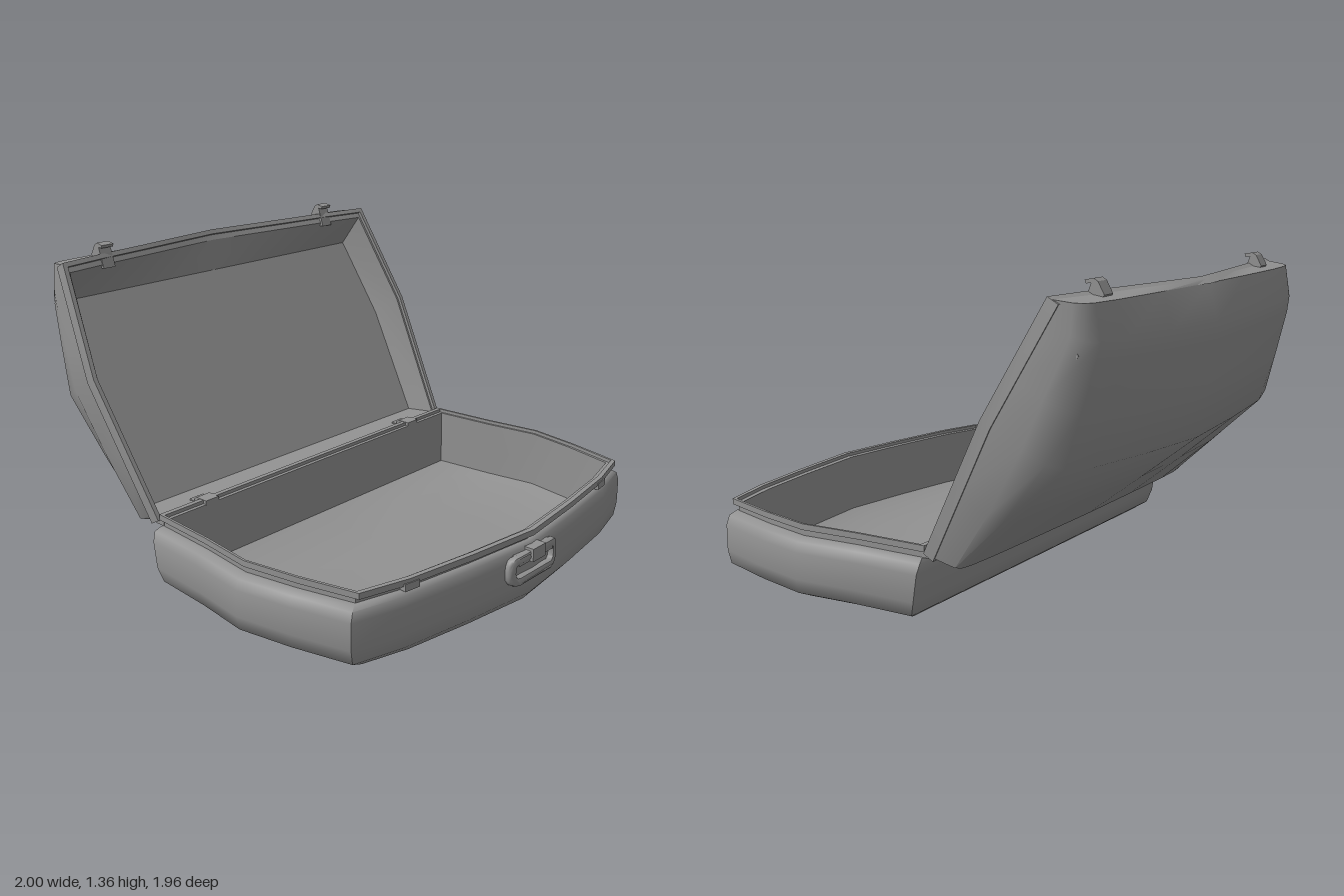
import * as THREE from 'three';
import { toCreasedNormals } from 'three/addons/utils/BufferGeometryUtils.js';

const material = new THREE.MeshStandardMaterial({ color: 0x929292, side: THREE.DoubleSide });
const V = (x, y, z) => new THREE.Vector3(x, y, z);

function part(name, geometry, parent) {
  const mesh = new THREE.Mesh(geometry, material);
  mesh.name = name;
  parent.add(mesh);
  return mesh;
}

// Surface through rows of points; closed joins each row's end to its start
function skin(rows, closed, crease) {
  const pos = [];
  const tri = (a, b, c) => {
    if (a.distanceTo(b) > 1e-6 && b.distanceTo(c) > 1e-6 && c.distanceTo(a) > 1e-6)
      for (const p of [a, b, c]) pos.push(p.x, p.y, p.z);
  };
  for (let i = 0; i < rows.length - 1; i++) {
    const lo = rows[i], hi = rows[i + 1], n = lo.length;
    for (let j = 0; j < (closed ? n : n - 1); j++) {
      const k = (j + 1) % n;
      tri(lo[j], lo[k], hi[k]);
      tri(lo[j], hi[k], hi[j]);
    }
  }
  const g = new THREE.BufferGeometry();
  g.setAttribute('position', new THREE.Float32BufferAttribute(pos, 3));
  return toCreasedNormals(g, crease);
}

// Full loop from its +x half (first and last points lie on x = 0)
const mirrorLoop = (half) =>
  half.concat(half.slice(1, -1).reverse().map((p) => V(-p.x, p.y, p.z)));

// Base outline in plan, scaled separately sideways, to the front and to the back
const BASE = [[0, 0.95], [0.35, 0.91], [0.68, 0.86], [0.9, 0.8], [0.96, 0.55], [1, 0.31], [0.965, 0.05], [0.94, -0.25], [0, -0.25]];
const baseLoop = ([y, sx, sf, sb]) =>
  mirrorLoop(BASE.map(([x, z]) => V(x * sx, y, 0.31 + (z - 0.31) * (z > 0.31 ? sf : sb))));

function addBase(root) {
  const base = new THREE.Group();
  base.name = 'base';
  root.add(base);
  // Outer shell, stepped rim, upright inner wall and dished floor in one loft
  part('baseShell', skin([
    [0, 0, 0, 0], [0.015, 0.68, 0.78, 0.64], [0.04, 0.9, 0.94, 0.82], [0.08, 0.985, 0.99, 0.925],
    [0.14, 1, 1, 0.96], [0.25, 1, 1, 0.99], [0.29, 0.985, 0.99, 1], [0.305, 0.96, 0.965, 0.985],
    [0.305, 0.945, 0.95, 0.97], [0.33, 0.945, 0.95, 0.97], [0.33, 0.955, 1, 1], [0.355, 0.955, 1, 1],
    [0.355, 0.945, 0.965, 0.96], [0.34, 0.945, 0.965, 0.96], [0.34, 0.935, 0.925, 0.93],
    [0.085, 0.935, 0.925, 0.92], [0.06, 0.8, 0.8, 0.72], [0.05, 0.5, 0.5, 0.4], [0.05, 0, 0, 0],
  ].map(baseLoop), true, 0.95), base);

  // Catches on the front rim that receive the lid latches
  for (const s of [-1, 1]) {
    const c = part('catch', new THREE.BoxGeometry(0.07, 0.03, 0.03), base);
    c.position.set(s * 0.64, 0.325, 0.85);
    c.rotation.y = s * 0.15;
  }
}

function roundedRect(S, x0, y0, x1, y1, r) {
  const s = new S();
  s.moveTo(x0 + r, y0);
  s.lineTo(x1 - r, y0).quadraticCurveTo(x1, y0, x1, y0 + r);
  s.lineTo(x1, y1 - r).quadraticCurveTo(x1, y1, x1 - r, y1);
  s.lineTo(x0 + r, y1).quadraticCurveTo(x0, y1, x0, y1 - r);
  s.lineTo(x0, y0 + r).quadraticCurveTo(x0, y0, x0 + r, y0);
  return s;
}

function addHandle(root) {
  const handle = new THREE.Group();
  handle.name = 'handle';
  root.add(handle);
  // Grip loop, swept back slightly at both ends
  const ring = roundedRect(THREE.Shape, -0.153, 0.163, 0.153, 0.272, 0.045);
  ring.holes.push(roundedRect(THREE.Path, -0.136, 0.18, 0.136, 0.256, 0.03));
  const g = new THREE.ExtrudeGeometry(ring, {
    depth: 0.012, bevelSize: 0.01, bevelThickness: 0.01, bevelSegments: 2, curveSegments: 4,
  });
  const p = g.attributes.position;
  for (let i = 0; i < p.count; i++)
    p.setZ(i, p.getZ(i) + 0.955 - 0.25 * Math.max(0, Math.abs(p.getX(i)) - 0.08));
  part('handleGrip', toCreasedNormals(g, 0.7), handle);
  // Mount holding the top bar of the grip
  part('handleMount', new THREE.BoxGeometry(0.085, 0.055, 0.045), handle).position.set(0, 0.265, 0.957);
  part('handleMountBar', new THREE.BoxGeometry(0.23, 0.04, 0.04), handle).position.set(0, 0.258, 0.945);
}

function addLid(root) {
  // Local frame: y runs from hinge to free edge, depth goes toward -z
  const lid = new THREE.Group();
  lid.name = 'lid';
  lid.position.set(0, 0.32, -0.27);
  lid.rotation.x = -0.496;
  root.add(lid);

  // Domed outer shell: rows of [half width, edge u, centre u, centre depth, side squareness]
  const rows = [
    [0.9, 0, 0, 0, 1], [0.905, 0.02, 0.036, 0.145, 0.25], [0.93, 0.3, 0.33, 0.27, 0.65],
    [0.955, 0.62, 0.62, 0.39, 0.95], [0.938, 0.8, 0.82, 0.325, 0.9], [0.92, 0.95, 1.0, 0.263, 0.8],
    [0.91, 1.03, 1.06, 0.232, 0.75], [0.9, 1.114, 1.165, 0.125, 0.7],
  ];
  const columns = [[1, 0], [0.985, 0.4], [0.955, 0.64], [0.9, 0.76], [0.75, 0.86], [0.4, 0.94], [0, 1]];
  const across = columns.concat(columns.slice(0, -1).reverse().map(([f, k]) => [-f, k]));
  const shell = rows.map(([w, ue, uc, depth, p]) => across.map(([f, k]) => {
    const t = k ** p;
    return V(f * w, ue + (uc - ue) * t, -depth * t);
  }));
  shell.push(across.map(([f]) => V(f * 0.9, 1.17 - 0.056 * Math.abs(f), -0.105 * (1 - Math.abs(f)))));
  part('lidShell', skin(shell, false, 0.9), lid);

  // Rim and wall lining; the free edge bows outward at its middle and has a broader lip
  const RIM = [[0, 0, 0], [0.9, 0, 0], [0.955, 0.62, 0], [0.9, 1.114, 0],
    [0.68, 1.13, 0.027], [0.45, 1.143, 0.053], [0.22, 1.157, 0.08], [0, 1.17, 0.105]];
  const rim = (side, top, lift) => mirrorLoop(RIM.map(([x, u, v]) =>
    V(x * side, 0.56 + (u - 0.56) * (u > 0.56 ? top : side), lift - v)));
  const floor = mirrorLoop([[0, 0.07], [0.87, 0.07], [0.915, 0.6], [0.885, 1], [0.67, 1], [0.44, 1], [0.22, 1], [0, 1]]
    .map(([x, u]) => V(x, u, -0.128 - 0.04 * u)));
  part('lidRim', skin([
    rim(1, 1, -0.03), rim(1.005, 1, -0.03), rim(1.005, 1, 0.02), rim(0.985, 0.965, 0.02),
    rim(0.985, 0.965, 0.005), rim(0.975, 0.925, 0.005), floor,
  ], true, 0.4), lid);
  // Flat panel closing the inside of the lid
  part('lidPanel', skin([floor, floor.map(() => V(0, 0.56, -0.1504))], true, 0.4), lid);
}

function addHardware(root) {
  // Hooked latch strip, side profile as (z, y)
  const hook = new THREE.Shape([
    [-0.795, 1.25], [-0.815, 1.31], [-0.825, 1.338], [-0.805, 1.335], [-0.8, 1.348],
    [-0.835, 1.355], [-0.852, 1.345], [-0.878, 1.3], [-0.84, 1.25],
  ].map(([z, y]) => new THREE.Vector2(z, y)));
  for (const s of [-1, 1]) {
    const latch = new THREE.ExtrudeGeometry(hook, { depth: 0.06, bevelEnabled: false });
    latch.rotateY(-Math.PI / 2).translate(s * 0.665 + 0.03, 0, 0);
    part('latch', latch, root);

    // Hinge: leaf on the base and leaf on the lid around a barrel
    const hinge = new THREE.Group();
    hinge.name = 'hinge';
    hinge.position.set(s * 0.65, 0.335, -0.265);
    root.add(hinge);
    part('hingeLeaf', new THREE.BoxGeometry(0.07, 0.02, 0.06), hinge).position.set(0, 0.012, 0.025);
    part('hingeBarrel', new THREE.CylinderGeometry(0.022, 0.022, 0.07, 10), hinge).rotation.z = Math.PI / 2;
    const leaf = part('hingeLidLeaf', new THREE.BoxGeometry(0.07, 0.02, 0.05), hinge);
    leaf.position.set(0, -0.012, -0.025);
    leaf.rotation.x = 0.3;
  }
  // Long strip joining the two halves along the back
  part('hingeStrip', new THREE.BoxGeometry(1.78, 0.025, 0.05), root).position.set(0, 0.318, -0.258);
}

export function createModel() {
  const root = new THREE.Group();
  root.name = 'openSuitcase';
  addBase(root);
  addHandle(root);
  addLid(root);
  addHardware(root);
  return root;
}
